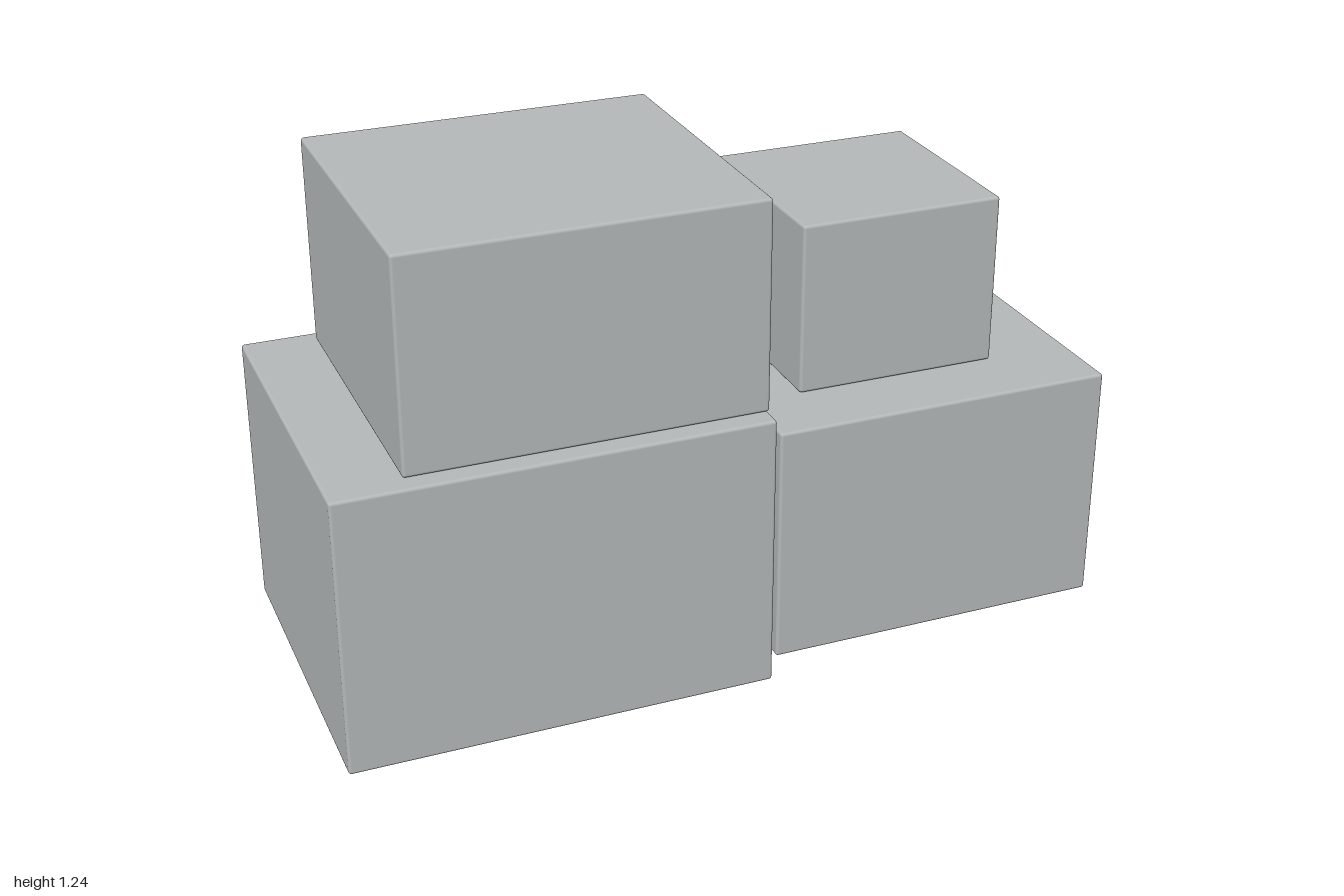
import * as THREE from 'three';
import { RoundedBoxGeometry } from 'three/addons/geometries/RoundedBoxGeometry.js';

export function createModel() {
  const model = new THREE.Group();
  model.name = 'stackedCrates';

  const grey = new THREE.MeshStandardMaterial({ color: 0xb4b8b8 });
  grey.name = 'crate grey';
  const rust = new THREE.MeshStandardMaterial({ color: 0xb0592c });
  rust.name = 'latch rust';

  // Rounded box given by its lower and upper corners
  function block(name, lo, hi, radius, material) {
    const size = hi.map((v, i) => v - lo[i]);
    const mesh = new THREE.Mesh(new RoundedBoxGeometry(...size, 2, radius), material);
    mesh.position.set(...hi.map((v, i) => (v + lo[i]) / 2));
    mesh.name = name;
    model.add(mesh);
  }

  // Crates: two large ones on the ground, a smaller one on each
  const crates = [
    { name: 'largeCrate', lo: [-1, 0, -0.425], hi: [0.062, 0.71, 0.462], latchY: 0.533 },
    { name: 'mediumCrate', lo: [0.113, 0, -0.425], hi: [1, 0.622, 0.373], latchY: 0.446 },
    { name: 'upperCrate', lo: [-0.822, 0.713, -0.38], hi: [0.062, 1.244, 0.418], latchY: 1.111 },
    { name: 'smallCrate', lo: [0.244, 0.625, -0.336], hi: [0.775, 1.066, 0.195] },
  ];

  for (const { name, lo, hi, latchY } of crates) {
    block(name, lo, hi, 0.008, grey);
    if (latchY === undefined) continue;
    // Latch on the back face
    const x = (lo[0] + hi[0]) / 2;
    const z = lo[2] - 0.002;
    block(name + 'Latch', [x - 0.052, latchY - 0.044, z - 0.035], [x + 0.052, latchY + 0.044, z], 0.01, rust);
  }
  return model;
}
